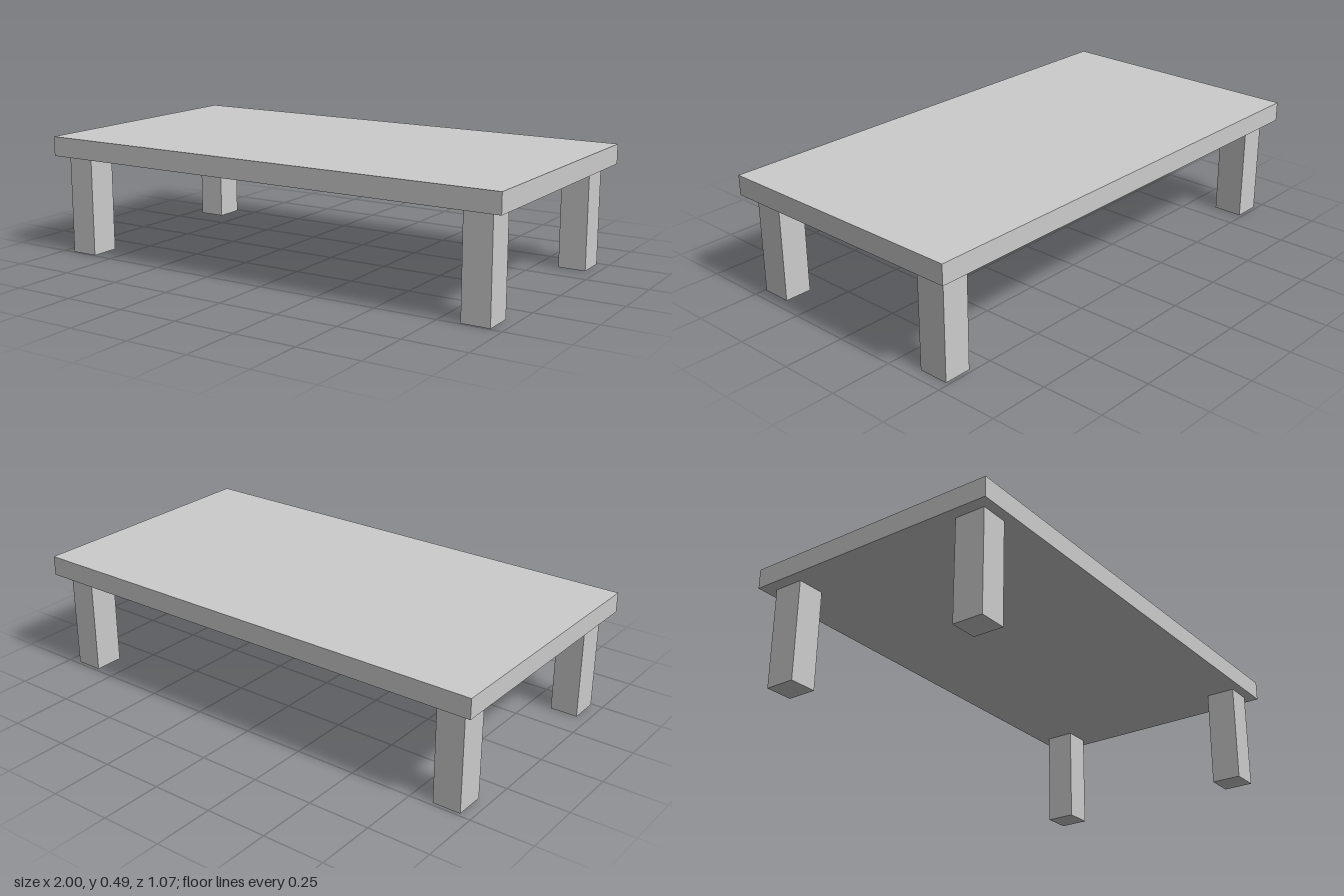
import * as THREE from 'three';

const TOP_Y = 0.487, UNDER_Y = 0.407;

export function createModel() {
  const table = new THREE.Group();
  table.name = 'lowTable';
  const material = new THREE.MeshStandardMaterial({ color: 0xcccccc, flatShading: true });

  // Adds a box standing on height y
  function addBox(name, width, height, depth, x, y, z) {
    const mesh = new THREE.Mesh(new THREE.BoxGeometry(width, height, depth), material);
    mesh.name = name;
    mesh.position.set(x, y + height / 2, z);
    table.add(mesh);
  }

  // Slab top
  addBox('tableTop', 2, TOP_Y - UNDER_Y, 1.068, 0, UNDER_Y, 0);

  // Four legs, set slightly further in at the front
  for (const [end, z] of [['front', 0.432], ['back', -0.425]]) {
    for (const [side, x] of [['Left', 0.896], ['Right', -0.896]]) {
      addBox(`${end}${side}Leg`, 0.113, UNDER_Y, 0.123, x, 0, z);
    }
  }

  return table;
}
